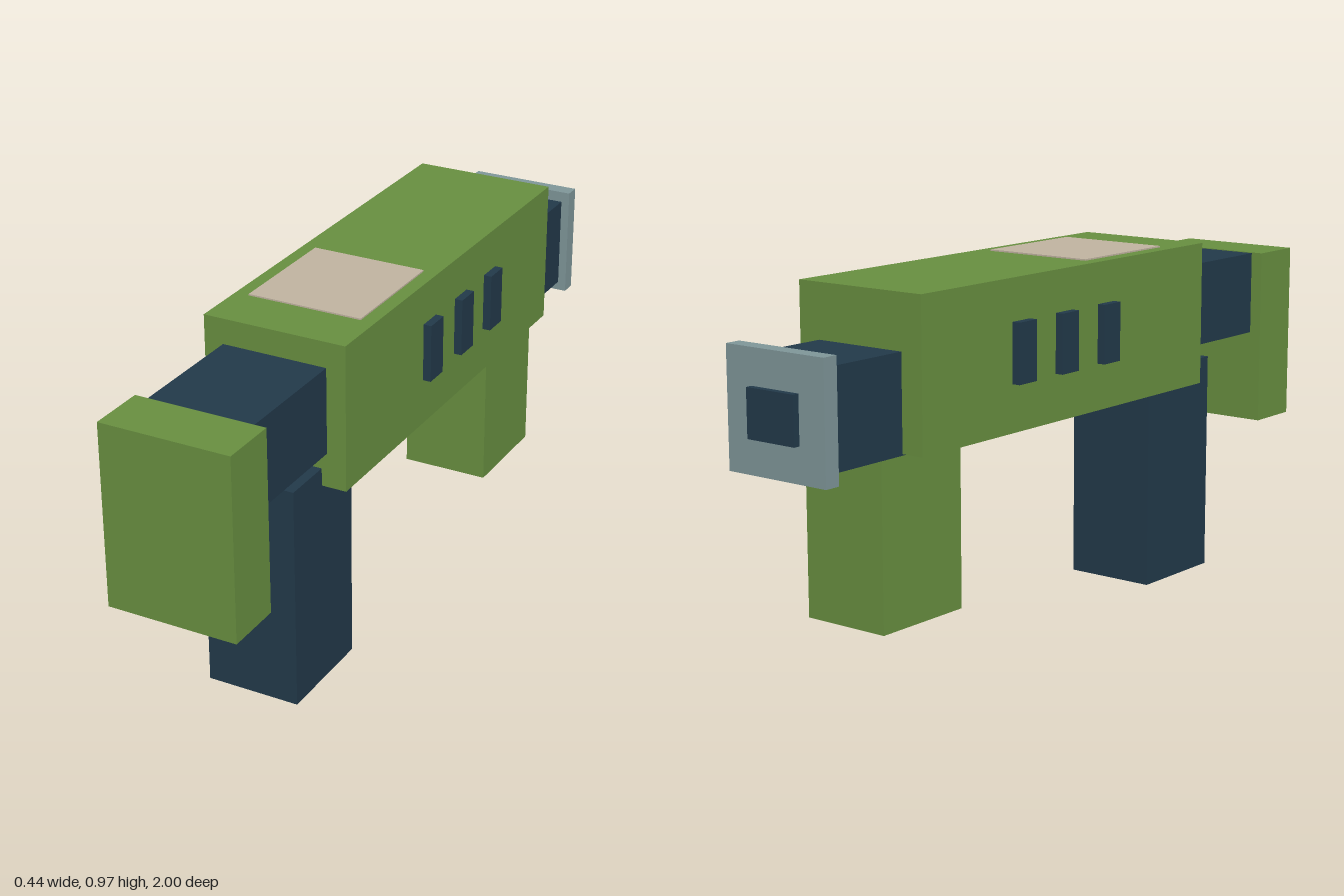
import * as THREE from 'three';

const material = (name, color) => {
  const m = new THREE.MeshStandardMaterial({ color });
  m.name = name;
  return m;
};

export function createModel() {
  const green = material('green', 0x688f40);
  const navy = material('navy', 0x22394a);
  const grey = material('grey', 0x7f9699);
  const tan = material('tan', 0xc0b3a0);

  const model = new THREE.Group();
  model.name = 'blockBlaster';

  // Box given by its x centre, width, and its y and z limits
  const box = (name, mat, x, width, [y0, y1], [z0, z1]) => {
    const mesh = new THREE.Mesh(new THREE.BoxGeometry(width, y1 - y0, z1 - z0), mat);
    mesh.name = name;
    mesh.position.set(x, (y0 + y1) / 2, (z0 + z1) / 2);
    model.add(mesh);
  };

  // Main body with a thin panel on top
  box('body', green, 0, 0.396, [0.567, 0.962], [-0.688, 0.502]);
  box('topPanel', tan, 0, 0.318, [0.958, 0.966], [0.012, 0.352]);

  // Stock and its connecting block
  box('stockNeck', navy, 0, 0.29, [0.66, 0.893], [0.46, 0.85]);
  box('stock', green, 0, 0.357, [0.4, 0.895], [0.842, 1]);

  // Grips under the body
  box('rearGrip', navy, 0, 0.259, [0, 0.615], [0.35, 0.643]);
  box('foreGrip', green, 0, 0.25, [0.124, 0.6], [-0.755, -0.46]);

  // Barrel, muzzle plate and bore
  box('barrel', navy, 0, 0.268, [0.563, 0.818], [-0.945, -0.615]);
  box('muzzlePlate', grey, 0, 0.315, [0.538, 0.848], [-0.982, -0.938]);
  box('muzzleBore', navy, 0, 0.152, [0.63, 0.755], [-1, -0.97]);

  // Three raised vents on each side
  for (const side of [-1, 1]) {
    for (const z of [0.051, -0.13, -0.307]) {
      box('sideVent', navy, side * 0.2, 0.04, [0.693, 0.851], [z - 0.035, z + 0.035]);
    }
  }
  return model;
}
